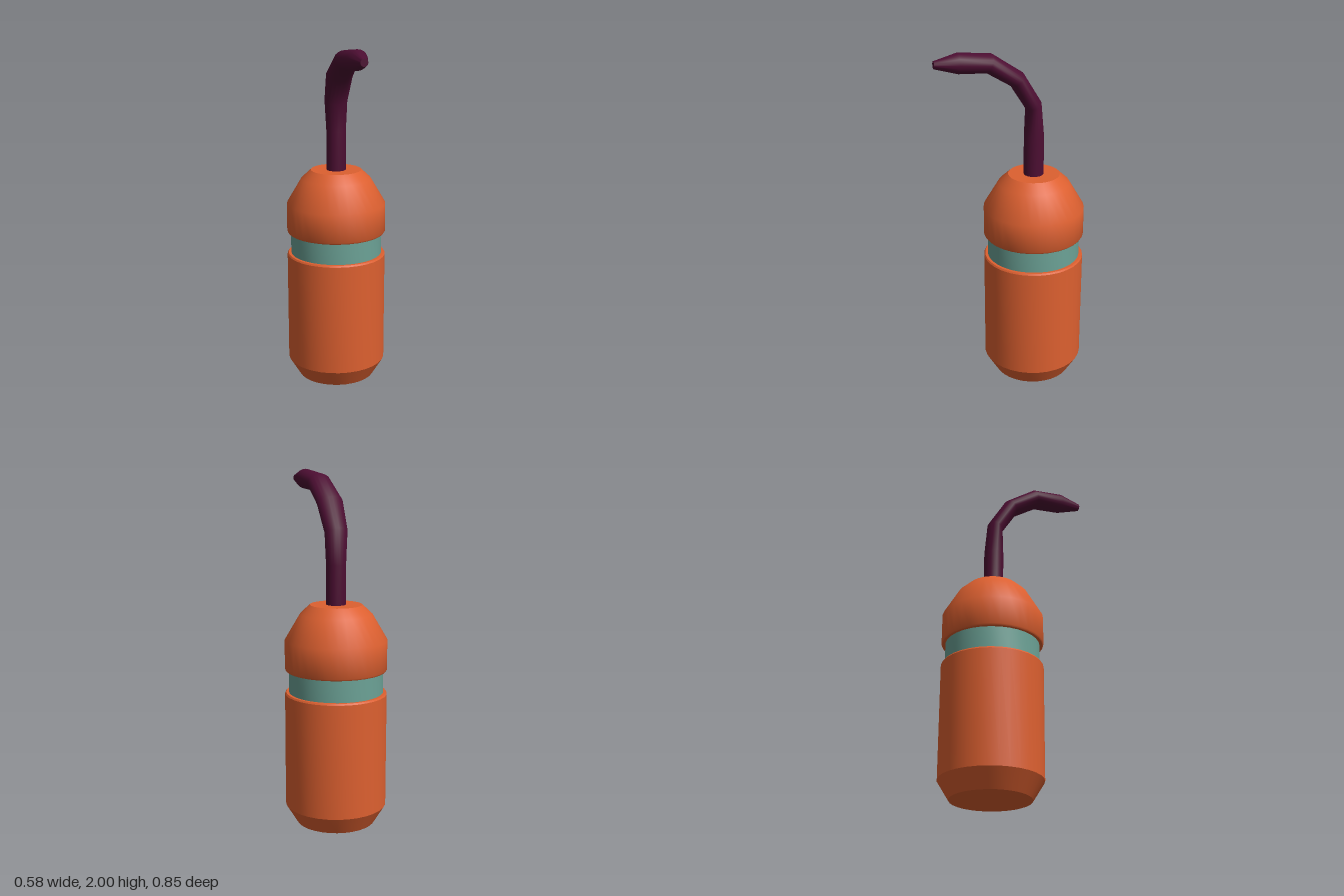
import * as THREE from 'three';
import { toCreasedNormals } from 'three/addons/utils/BufferGeometryUtils.js';

const SIDES = 32;
const AXIS_Z = -0.137; // the bottle stands behind the centre, the spout reaches forward

const orange = new THREE.MeshStandardMaterial({ color: 0xdd6030 });
orange.name = 'orange';
const teal = new THREE.MeshStandardMaterial({ color: 0x6ca296 });
teal.name = 'teal';
const plum = new THREE.MeshStandardMaterial({ color: 0x4c0e32 });
plum.name = 'plum';

// Turned part from a bottom-to-top profile of [radius, y]
function turned(name, profile, material, crease) {
  const points = profile.map(([r, y]) => new THREE.Vector2(r, y));
  const geometry = toCreasedNormals(new THREE.LatheGeometry(points, SIDES), crease);
  const mesh = new THREE.Mesh(geometry, material);
  mesh.name = name;
  mesh.position.z = AXIS_Z;
  return mesh;
}

// Bent spout lofted through elliptical rings
function spoutGeometry() {
  // outer z, outer y, inner z, inner y, half width, x offset
  const rings = [
    [-0.192, 1.25, -0.078, 1.25, 0.056, 0],
    [-0.191, 1.49, -0.078, 1.49, 0.056, 0],
    [-0.172, 1.69, -0.087, 1.65, 0.067, -0.002],
    [-0.07, 1.86, 0.0, 1.79, 0.077, -0.007],
    [0.103, 1.977, 0.14, 1.876, 0.07, -0.01],
    [0.294, 2.0, 0.297, 1.887, 0.059, 0],
    [0.427, 1.966, 0.427, 1.924, 0.021, 0],
  ];
  const n = 20;
  const positions = [];
  const index = [];
  rings.forEach(([oz, oy, iz, iy, w, cx], i) => {
    const cz = (oz + iz) / 2, cy = (oy + iy) / 2;
    for (let j = 0; j < n; j++) {
      const a = (j / n) * Math.PI * 2;
      positions.push(cx + w * Math.cos(a), cy + (oy - cy) * Math.sin(a), cz + (oz - cz) * Math.sin(a));
      if (i === 0) continue;
      const k = (j + 1) % n, lo = (i - 1) * n, hi = i * n;
      index.push(lo + j, lo + k, hi + k, lo + j, hi + k, hi + j);
    }
  });
  // flat tip
  const last = (rings.length - 1) * n;
  for (let j = 1; j < n - 1; j++) index.push(last, last + j, last + j + 1);
  const geometry = new THREE.BufferGeometry();
  geometry.setAttribute('position', new THREE.Float32BufferAttribute(positions, 3));
  geometry.setIndex(index);
  return toCreasedNormals(geometry, 0.75);
}

export function createModel() {
  const model = new THREE.Group();
  model.name = 'bottle';

  // Lower body with chamfered foot and a ledge under the band
  model.add(turned('body', [
    [0, 0], [0.225, 0], [0.289, 0.105], [0.289, 0.758], [0.283, 0.767], [0.26, 0.767],
  ], orange, 0.5));

  // Recessed band
  model.add(turned('band', [[0.267, 0.755], [0.267, 0.905]], teal, 0.5));

  // Shoulder with a flat top
  model.add(turned('shoulder', [
    [0.26, 0.893], [0.283, 0.893], [0.289, 0.902], [0.289, 1.066], [0.203, 1.213], [0.147, 1.265], [0, 1.265],
  ], orange, 0.62));

  const spout = new THREE.Mesh(spoutGeometry(), plum);
  spout.name = 'spout';
  model.add(spout);

  return model;
}
